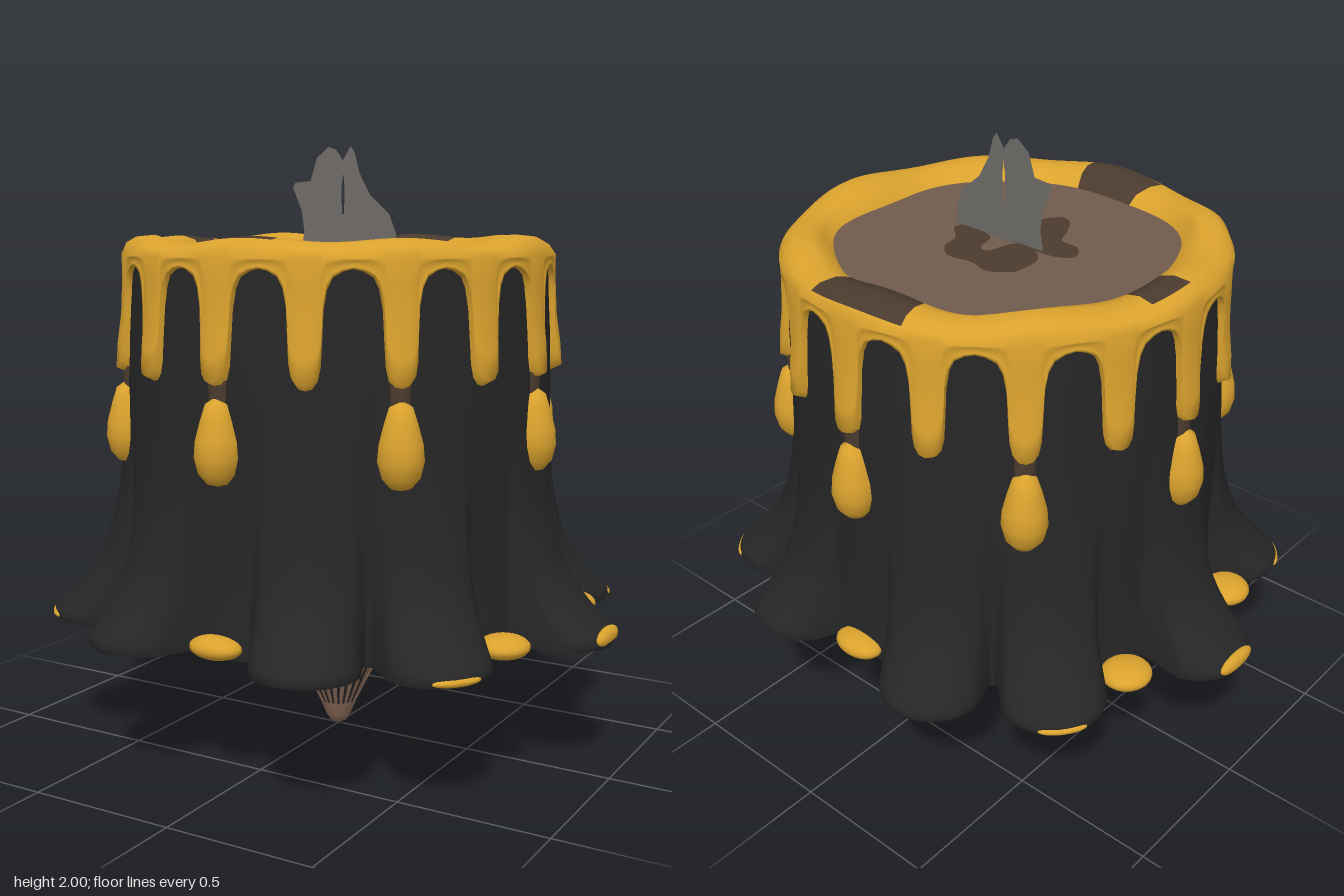
import * as THREE from 'three';

const mat = (name, color, side = THREE.FrontSide) => {
  const m = new THREE.MeshStandardMaterial({ color, side });
  m.name = name;
  return m;
};
const TAU = Math.PI * 2, RAD = Math.PI / 180;

// Closed surface of revolution by rule: point(i, j) for column i, row j; pick() chooses the material index
function loopSurface(cols, rows, point, pick = () => 0) {
  const pos = [], lists = [[], []];
  for (let j = 0; j < rows; j++) for (let i = 0; i < cols; i++) pos.push(...point(i, j));
  for (let j = 0; j < rows - 1; j++) for (let i = 0; i < cols; i++) {
    const n = (i + 1) % cols, a = j * cols + i, b = j * cols + n;
    lists[pick(i, j)].push(a, b, b + cols, a, b + cols, a + cols);
  }
  const g = new THREE.BufferGeometry();
  g.setAttribute('position', new THREE.Float32BufferAttribute(pos, 3));
  g.setIndex([...lists[0], ...lists[1]]);
  g.addGroup(0, lists[0].length, 0);
  g.addGroup(lists[0].length, lists[1].length, 1);
  g.computeVertexNormals();
  return g;
}
const polar = (r, y, a) => [r * Math.sin(a), y, r * Math.cos(a)];

// Spreading root lobes: [angle in degrees from the front, tip radius]
const lobes = [];
for (const s of [1, -1]) for (const [a, r] of [[23, 0.94], [51, 0.975], [90, 1], [129, 0.975], [157, 0.94]]) lobes.push([s * a * RAD, r]);

function footRadius(a) {
  let best = 0.73;
  for (const [angle, tip] of lobes) {
    const rho = 0.172, d = tip - rho;
    const side = d * Math.sin(a - angle), ahead = d * Math.cos(a - angle);
    if (ahead > 0 && Math.abs(side) < rho) best = Math.max(best, ahead + Math.sqrt(rho * rho - side * side));
  }
  return best;
}

export function createModel() {
  const model = new THREE.Group();
  const black = mat('blackWax', 0x262626);
  const gold = mat('goldWax', 0xdba32e);
  const brown = mat('brownTop', 0x705b4d);
  const stain = mat('darkBrownStain', 0x4b3b2e, THREE.DoubleSide);
  const grey = mat('greyWick', 0x6f6c69, THREE.DoubleSide);
  const tan = mat('tanSpike', 0x8c6d5a, THREE.DoubleSide);
  const add = (name, geometry, material, parent = model) => {
    const m = new THREE.Mesh(geometry, material);
    m.name = name;
    parent.add(m);
    return m;
  };

  // Body: rows of [height, core radius, flare toward the lobed foot]
  const rows = [[0.44, 0.71, 0.97], [0.455, 0.71, 1], [0.475, 0.71, 0.97], [0.5, 0.71, 0.87], [0.55, 0.71, 0.68],
    [0.6, 0.71, 0.52], [0.65, 0.71, 0.4], [0.7, 0.71, 0.31], [0.8, 0.712, 0.19], [0.9, 0.714, 0.11],
    [1.0, 0.716, 0.06], [1.2, 0.715, 0], [1.4, 0.71, 0], [1.67, 0.695, 0]];
  const N = 300;
  add('body', loopSurface(N, rows.length, (i, j) => {
    const a = i / N * TAU, [y, core, f] = rows[j];
    return polar(core + f * (footRadius(a) - core), y, a);
  }), black);
  add('underside', loopSurface(N, 2, (i, j) => {
    const a = i / N * TAU;
    return polar(j * (0.71 + 0.97 * (footRadius(a) - 0.71)), 0.44, a);
  }), black);

  // Gold coat: half outline of one drip as [arc offset, lower edge, thickness], mirrored and repeated
  const half = [[0, 1.262, 0.036], [0.02, 1.268, 0.034], [0.036, 1.29, 0.028], [0.045, 1.33, 0.02], [0.049, 1.4, 0.013],
    [0.053, 1.5, 0.01], [0.063, 1.56, 0.008], [0.08, 1.595, 0.006], [0.11, 1.613, 0.005], [0.139, 1.62, 0.005]];
  const drip = [...half.slice(1, 9).reverse().map(([u, y, t]) => [-u, y, t]), ...half];
  const columns = [];
  for (let k = 0; k < 16; k++) for (const [u, y, t] of drip) columns.push({ a: (k * 22.5) * RAD + u / 0.71, y, t });
  const rim = [[0.722, 1.65], [0.705, 1.68], [0.675, 1.697], [0.62, 1.702], [0.575, 1.688], [0.535, 1.64]];
  const down = [0, 0.06, 0.25, 0.5, 0.8];
  const coatPoint = (i, j) => {
    const { a, y, t } = columns[i];
    if (j < 5) {
      const r = [0.702, 0.714 + t, 0.712 + t * 0.9, 0.712 + t * 0.5, 0.716 + t * 0.2][j];
      return polar(r, y + (1.65 - y) * down[j], a);
    }
    const [r, h] = rim[j - 5];
    const wave = j > 5 && j < 10 ? 0.009 * Math.sin(8 * a + 1) + 0.004 * Math.sin(5 * a) : 0;
    const inner = j > 8 ? 0.014 * Math.sin(4 * a - 1.5) + 0.008 * Math.sin(7 * a) : 0;
    return polar(r + inner, h + wave, a);
  };
  // Bare patches on the rim: [angle, half width, first row]
  const patches = [[0, 12, 7], [180, 16, 6], [265, 8, 7]];
  const patchAt = (i, j) => +patches.some(([p, w, row]) => {
    const d = Math.abs(((columns[i].a / RAD - p + 540) % 360) - 180);
    return j >= row && d < w;
  });
  add('goldCoat', loopSurface(columns.length, 11, coatPoint, patchAt), [gold, stain]);

  // Hanging drops below every second drip, joined by a dark neck
  const dropGeo = new THREE.LatheGeometry([[0, 0.97], [0.035, 0.98], [0.06, 1.01], [0.072, 1.06], [0.068, 1.11],
    [0.052, 1.17], [0.036, 1.22], [0, 1.245]].map(p => new THREE.Vector2(...p)), 20);
  const neckGeo = new THREE.CylinderGeometry(0.035, 0.032, 0.1, 12);
  for (let k = 0; k < 8; k++) {
    const g = new THREE.Group();
    g.name = 'drop' + (k + 1);
    g.rotation.y = k * TAU / 8;
    add('dropBead', dropGeo, gold, g).position.z = 0.715;
    const neck = add('dropNeck', neckGeo, stain, g);
    neck.position.set(0, 1.25, 0.708);
    neck.scale.z = 0.6;
    model.add(g);
  }

  // Wax puddles between the lobes and gold edging on lobe tips
  const ball = new THREE.SphereGeometry(1, 20, 12);
  const blob = (name, angle, r, y, sx, sy, sz) => {
    const a = angle * RAD, m = add(name, ball, gold);
    m.position.set(...polar(r, y, a));
    m.rotation.y = a;
    m.scale.set(sx, sy, sz);
  };
  for (const a of [0, 180]) blob('puddle', a, 0.74, 0.477, 0.09, 0.037, 0.06);
  for (const a of [69, 111, 249, 291]) blob('puddle', a, 0.805, 0.477, 0.085, 0.037, 0.08);
  for (const a of [90, 270]) blob('lobeTip', a, 0.978, 0.468, 0.085, 0.03, 0.022);
  for (const a of [51, 129, 231, 309]) blob('lobeTip', a, 0.952, 0.455, 0.08, 0.016, 0.026);

  // Top disc with a curled stain
  const disc = add('topDisc', new THREE.CircleGeometry(0.58, 64), brown);
  disc.rotation.x = -Math.PI / 2;
  disc.position.y = 1.65;
  const flat = pts => new THREE.Shape(new THREE.SplineCurve([...pts, pts[0]].map(([x, z]) => new THREE.Vector2(x, -z))).getPoints(60));
  const stains = [
    [[-0.17, -0.16], [-0.1, -0.21], [-0.02, -0.19], [0.07, -0.2], [0.13, -0.15], [0.15, -0.08], [0.21, -0.02], [0.19, 0.02],
      [0.07, 0.0], [0.04, -0.08], [0.0, -0.09], [-0.03, 0.01], [-0.12, 0.0], [-0.17, -0.06]],
    [[-0.12, 0.0], [0.0, 0.02], [0.04, 0.1], [0.04, 0.2], [0.0, 0.27], [-0.05, 0.26], [-0.1, 0.18], [-0.13, 0.12],
      [-0.2, 0.11], [-0.24, 0.05], [-0.2, 0.01]],
  ];
  stains.forEach((pts, i) => {
    const m = add('topStain', new THREE.ShapeGeometry(flat(pts)), stain);
    m.rotation.x = -Math.PI / 2;
    m.position.y = 1.654 + i * 0.001;
  });

  // Flat wick with a slit
  const outline = [[-0.14, 1.65], [-0.125, 1.72], [-0.135, 1.79], [-0.17, 1.87], [-0.16, 1.885], [-0.1, 1.89], [-0.075, 1.965],
    [-0.03, 2.0], [0.0, 1.99], [0.025, 1.955], [0.055, 2.0], [0.07, 1.98], [0.09, 1.91], [0.13, 1.84], [0.2, 1.78],
    [0.225, 1.72], [0.23, 1.65]].map(p => new THREE.Vector2(...p));
  const wick = new THREE.Shape(outline);
  wick.holes.push(new THREE.Path([[0.022, 1.78], [0.02, 1.87], [0.028, 1.915], [0.032, 1.86], [0.03, 1.78]].map(p => new THREE.Vector2(...p))));
  add('wick', new THREE.ShapeGeometry(wick), grey).position.z = 0.015;

  // Spike below: dark core, solid tip and separate ribs
  const spike = [[0, 0], [0.03, 0.015], [0.045, 0.04], [0.065, 0.09], [0.115, 0.19], [0.165, 0.29], [0.205, 0.38], [0.228, 0.445]];
  const pts = (list, k = 1) => list.map(([r, y]) => new THREE.Vector2(r * k, y));
  add('spikeCore', new THREE.LatheGeometry(pts(spike.slice(2), 0.86), 32), black);
  add('spikeTip', new THREE.LatheGeometry(pts(spike.slice(0, 4)), 24), tan);
  const ribs = 24;
  for (let k = 0; k < ribs; k++) {
    add('spikeRib', new THREE.LatheGeometry(pts(spike.slice(3)), 3, (k + 0.2) * TAU / ribs, 0.6 * TAU / ribs), tan);
  }
  return model;
}
